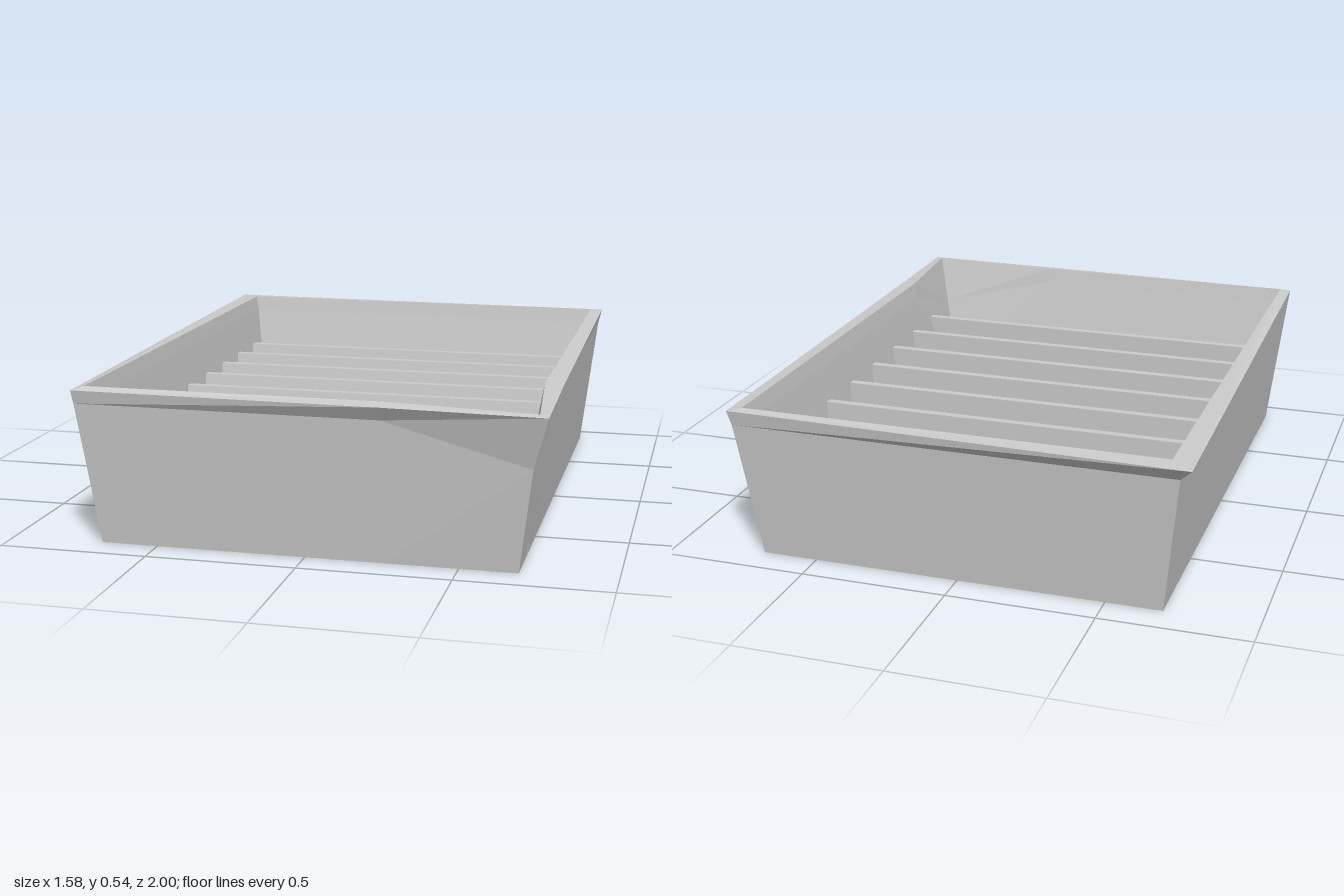
import * as THREE from 'three';

const material = new THREE.MeshStandardMaterial({
  color: 0xcccccc, flatShading: true, side: THREE.DoubleSide,
});

// Skin between stacked rings of [x, y, z] points.
function loft(rings, name) {
  const pos = [];
  const n = rings[0].length;
  for (let r = 0; r + 1 < rings.length; r++) {
    for (let i = 0; i < n; i++) {
      const j = (i + 1) % n;
      const a = rings[r][i], b = rings[r][j], c = rings[r + 1][j], d = rings[r + 1][i];
      // Mirror the diagonal after the flared corner
      const tris = i === 2 ? [a, b, d, b, c, d] : [a, b, c, a, c, d];
      for (const p of tris) pos.push(...p);
    }
  }
  const g = new THREE.BufferGeometry();
  g.setAttribute('position', new THREE.Float32BufferAttribute(pos, 3));
  g.computeVertexNormals();
  const mesh = new THREE.Mesh(g, material);
  mesh.name = name;
  return mesh;
}

// Rectangular ring: front left, front break, front right, side break, back right, back left.
// A separate point may replace the front right corner.
function ring(x, y, z, corner = [x, y, z]) {
  return [[-x, y, z], [0.26, y, z], corner, [x, y, 0.55], [x, y, -z], [-x, y, -z]];
}

export function createModel() {
  const group = new THREE.Group();
  group.name = 'slattedTray';

  // Tapered outer walls, with one corner cut low
  const shoulder = ring(0.745, 0.48, 0.955, [0.735, 0.35, 0.945]);
  group.add(loft([ring(0.69, 0, 0.89), shoulder], 'outerWalls'));

  // Slightly skewed lip, flared at two opposite corners
  const lip = [
    [-0.75, 0.525, 0.965], [0.26, 0.527, 0.985], [0.785, 0.525, 1],
    [0.775, 0.527, 0.55], [0.757, 0.53, -0.965], [-0.79, 0.53, -1],
  ];
  const innerLip = ring(0.715, 0.535, 0.935, [0.755, 0.53, 0.975]);
  group.add(loft([shoulder, lip, innerLip], 'rim'));

  // Inner walls with a dent behind the flared corner
  const dent = ring(0.706, 0.48, 0.928, [0.715, 0.36, 0.93]);
  group.add(loft([innerLip, dent, ring(0.655, 0.07, 0.865)], 'innerWalls'));

  // Raised floor
  const floor = new THREE.Mesh(new THREE.PlaneGeometry(1.39, 1.79), material);
  floor.rotation.x = -Math.PI / 2;
  floor.position.y = 0.07;
  floor.name = 'floor';
  group.add(floor);

  // Leaning slats with a wedge that pokes below the floor; [z, y] section
  const section = [[-0.033, 0.36], [-0.005, 0.36], [0.033, 0.07], [0.015, 0.01], [-0.022, 0.07]];
  const shape = new THREE.Shape(section.map(([z, y]) => new THREE.Vector2(-z, y)));
  const slatGeometry = new THREE.ExtrudeGeometry(shape, { depth: 1.36, bevelEnabled: false });
  slatGeometry.translate(0, 0, -0.68).rotateY(Math.PI / 2);
  for (let i = 0; i < 8; i++) {
    const slat = new THREE.Mesh(slatGeometry, material);
    slat.position.set(0.003 * i - 0.005, 0, -0.765 + i * 0.211);
    slat.name = 'slat' + (i + 1);
    group.add(slat);
  }
  return group;
}
